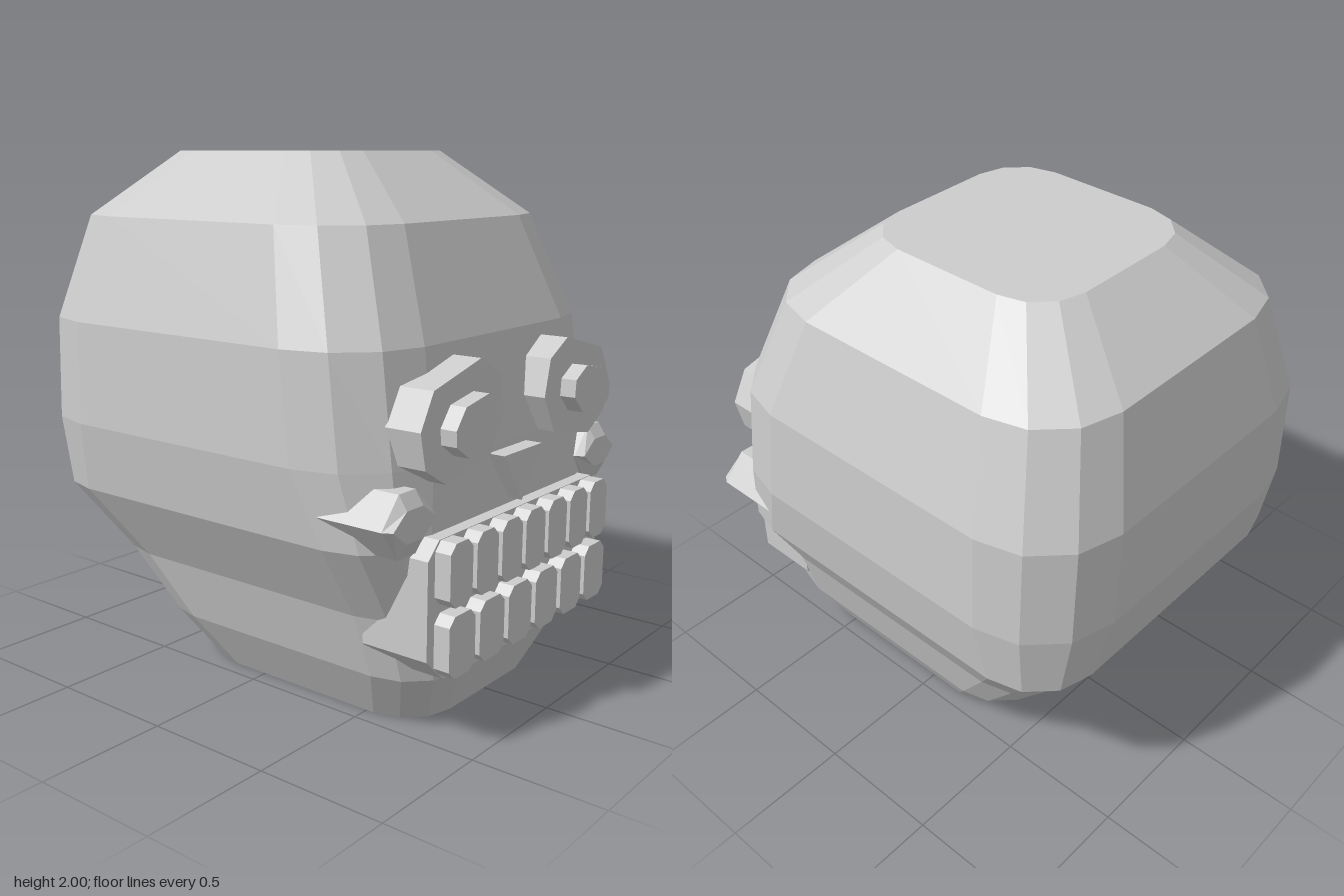
import * as THREE from 'three';

const bone = new THREE.MeshStandardMaterial({ color: 0xcccccc, flatShading: true });
bone.name = 'bone';

// Cranium levels: y, half width, front z, back z, corner radius
const LEVELS = [
  [0.0, 0.43, 0.73, -0.35, 0.2],
  [0.2, 0.54, 0.82, -0.5, 0.22],
  [0.44, 0.61, 0.82, -0.69, 0.24],
  [0.71, 0.76, 0.82, -0.88, 0.26],
  [0.98, 0.805, 0.8, -0.935, 0.34],
  [1.37, 0.795, 0.75, -0.935, 0.34],
  [1.76, 0.68, 0.6, -0.84, 0.31],
  [2.0, 0.41, 0.3, -0.55, 0.2],
];

// Rounded rectangle ring with three facets per corner
function ring([y, w, front, back, r]) {
  const pts = [];
  const centres = [[w - r, front - r], [r - w, front - r], [r - w, back + r], [w - r, back + r]];
  centres.forEach(([cx, cz], q) => {
    for (let i = 0; i <= 3; i++) {
      const a = (q * 3 + i) * Math.PI / 6;
      pts.push([cx + r * Math.cos(a), y, cz + r * Math.sin(a)]);
    }
  });
  return pts;
}

function craniumGeometry() {
  const rings = LEVELS.map(ring);
  const n = rings[0].length;
  const pos = [];
  const tri = (a, b, c) => pos.push(...a, ...b, ...c);
  for (let k = 0; k < rings.length - 1; k++) {
    for (let i = 0; i < n; i++) {
      const j = (i + 1) % n;
      const [a, b, c, d] = [rings[k][i], rings[k][j], rings[k + 1][j], rings[k + 1][i]];
      tri(a, c, b);
      tri(a, d, c);
    }
  }
  // Flat base and crown
  const base = rings[0], crown = rings[rings.length - 1];
  for (let i = 1; i < n - 1; i++) {
    tri(base[0], base[i], base[i + 1]);
    tri(crown[0], crown[i + 1], crown[i]);
  }
  const g = new THREE.BufferGeometry();
  g.setAttribute('position', new THREE.Float32BufferAttribute(pos, 3));
  g.computeVertexNormals();
  return g;
}

// Flat outline pushed out between two z depths
function plate(points, z0, z1) {
  const shape = new THREE.Shape(points.map(([x, y]) => new THREE.Vector2(x, y)));
  return new THREE.ExtrudeGeometry(shape, { depth: z1 - z0, bevelEnabled: false }).translate(0, 0, z0);
}

// Rectangle with cut corners
function cutRect(x0, x1, y0, y1, c) {
  return [[x0 + c, y0], [x1 - c, y0], [x1, y0 + c], [x1, y1 - c],
    [x1 - c, y1], [x0 + c, y1], [x0, y1 - c], [x0, y0 + c]];
}

// Hexagonal cheekbone with a bevelled front
function cheekGeometry() {
  const outer = [[0.49, 0.825], [0.585, 0.71], [0.685, 0.71], [0.772, 0.825], [0.68, 0.93], [0.59, 0.93]];
  const inner = [[0.51, 0.825], [0.59, 0.77], [0.68, 0.77], [0.752, 0.825], [0.68, 0.88], [0.59, 0.88]];
  const layers = [[outer, 0.5], [outer, 0.815], [inner, 0.848]]
    .map(([pts, z]) => pts.map(([x, y]) => [x, y, z]));
  const pos = [];
  for (let k = 0; k < 2; k++) {
    for (let i = 0; i < 6; i++) {
      const j = (i + 1) % 6;
      const [a, b, c, d] = [layers[k][i], layers[k][j], layers[k + 1][j], layers[k + 1][i]];
      pos.push(...a, ...b, ...c, ...a, ...c, ...d);
    }
  }
  for (let i = 1; i < 5; i++) {
    pos.push(...layers[2][0], ...layers[2][i], ...layers[2][i + 1]);
    pos.push(...layers[0][0], ...layers[0][i + 1], ...layers[0][i]);
  }
  const g = new THREE.BufferGeometry();
  g.setAttribute('position', new THREE.Float32BufferAttribute(pos, 3));
  g.computeVertexNormals();
  return g;
}

export function createModel() {
  const model = new THREE.Group();
  model.name = 'skull';
  const add = (name, geometry) => {
    const mesh = new THREE.Mesh(geometry, bone);
    mesh.name = name;
    model.add(mesh);
    return mesh;
  };

  add('cranium', craniumGeometry());

  // Eyes: slanted frame with a raised pupil
  const frame = [[0.295, 1.325], [0.175, 1.26], [0.14, 1.12], [0.22, 0.98],
    [0.49, 0.93], [0.61, 1.0], [0.64, 1.13], [0.57, 1.255]];
  const pupil = [[0.34, 1.22], [0.26, 1.175], [0.255, 1.11], [0.32, 1.045],
    [0.45, 1.02], [0.525, 1.07], [0.53, 1.125], [0.475, 1.195]];
  for (const [side, s] of [['left', 1], ['right', -1]]) {
    const mirror = (pts) => pts.map(([x, y]) => [x * s, y]);
    add(side + 'EyeFrame', plate(mirror(frame), 0.66, 0.868));
    add(side + 'Pupil', plate(mirror(pupil), 0.84, 0.93));
  }

  // Cheekbones, turned over in pairs by reversing the winding
  add('leftCheekbone', cheekGeometry());
  const right = cheekGeometry();
  const p = right.attributes.position;
  for (let i = 0; i < p.count; i += 3) {
    const v = [0, 2, 1].map((k) => new THREE.Vector3().fromBufferAttribute(p, i + k));
    v.forEach((q, k) => p.setXYZ(i + k, -q.x, q.y, q.z));
  }
  right.computeVertexNormals();
  add('rightCheekbone', right);

  // Nose
  add('nose', plate([[-0.13, 0.955], [0, 0.768], [0.13, 0.955]], 0.74, 0.868));

  // Jaw plate and two rows of teeth
  add('jawPlate', plate([[-0.49, 0.25], [0.49, 0.25], [0.587, 0.34], [0.587, 0.69],
    [0.525, 0.75], [-0.525, 0.75], [-0.587, 0.69], [-0.587, 0.34]], 0.6, 0.868));
  const teeth = (name, count, pitch, width, y0, y1) => {
    for (let i = 0; i < count; i++) {
      const x = (i - (count - 1) / 2) * pitch;
      add(name + (i + 1), plate(cutRect(x - width / 2, x + width / 2, y0, y1, 0.032), 0.84, 0.93));
    }
  };
  teeth('upperTooth', 7, 0.16, 0.134, 0.525, 0.748);
  teeth('lowerTooth', 6, 0.187, 0.157, 0.275, 0.495);

  return model;
}
